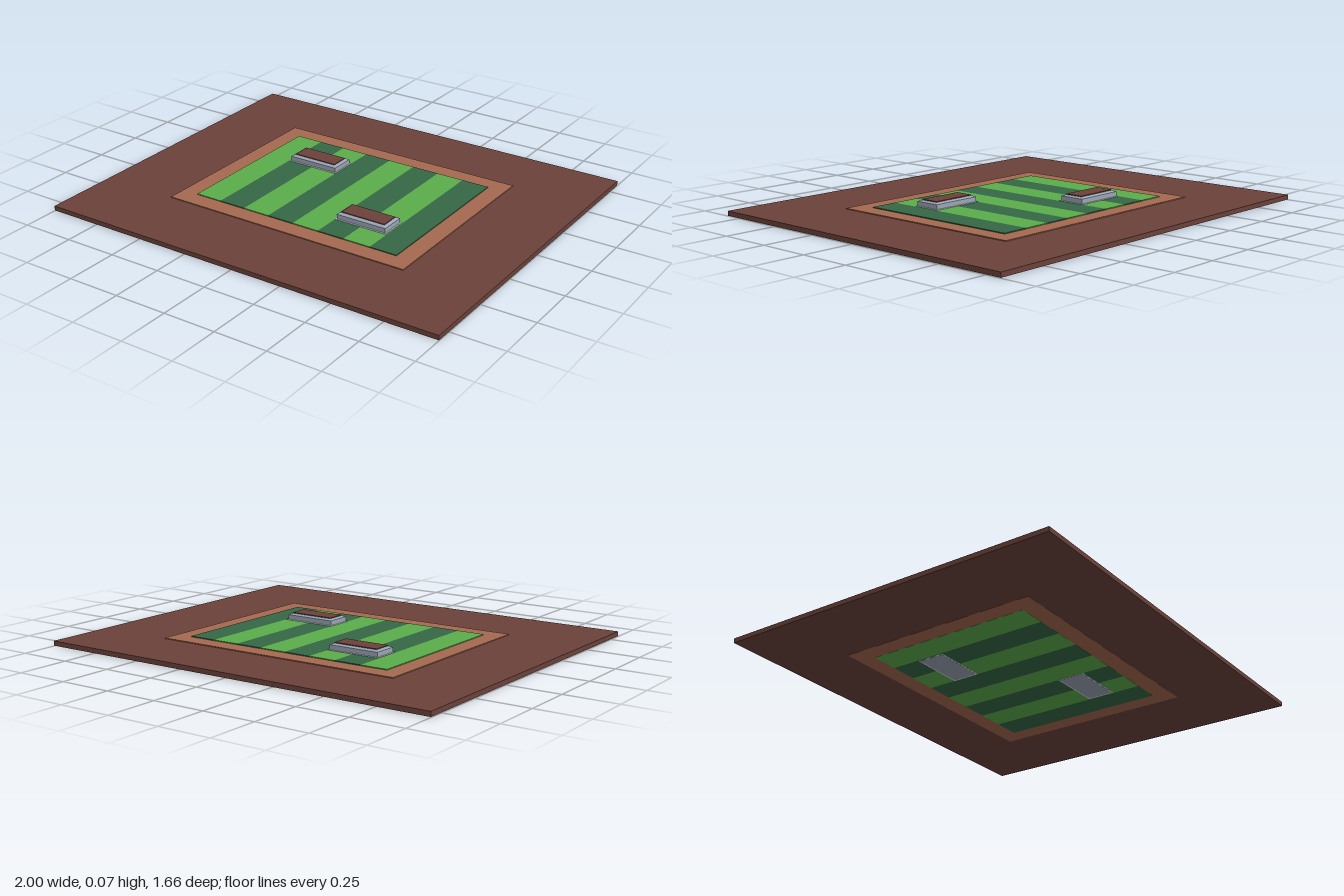
import * as THREE from 'three';

const mat = (name, color) => {
  const m = new THREE.MeshStandardMaterial({ color });
  m.name = name;
  return m;
};

export function createModel() {
  const earth = mat('dark earth', 0x6b413a);
  const clay = mat('clay', 0xa5694f);
  const lightGrass = mat('light grass', 0x5bad4b);
  const darkGrass = mat('dark grass', 0x346845);
  const concrete = mat('grey wall', 0x9aa5b5);
  const chalk = mat('white line', 0xf0f2f5);

  const model = new THREE.Group();
  model.name = 'sportsField';

  // Box given by its limits on each axis; taper pulls the top face inwards
  const slab = (name, material, [x0, x1], [y0, y1], [z0, z1], taper = 0, parent = model) => {
    const w = x1 - x0, h = y1 - y0, d = z1 - z0;
    const g = new THREE.BoxGeometry(w, h, d);
    const p = g.attributes.position;
    for (let i = 0; i < p.count; i++) {
      if (p.getY(i) < 0) continue;
      p.setX(i, p.getX(i) - Math.sign(p.getX(i)) * taper);
      p.setZ(i, p.getZ(i) - Math.sign(p.getZ(i)) * taper);
    }
    g.computeVertexNormals();
    const mesh = new THREE.Mesh(g, material);
    mesh.name = name;
    mesh.position.set((x0 + x1) / 2, (y0 + y1) / 2, (z0 + z1) / 2);
    parent.add(mesh);
  };

  // Ground and clay border; each inner layer reaches slightly past the outer one on both sides
  slab('ground', earth, [-1, 1], [0.002, 0.024], [-0.828, 0.828]);
  slab('clayBorder', clay, [-0.62, 0.62], [0.0015, 0.028], [-0.505, 0.468]);

  // Mown stripes
  const left = -0.535, stripe = 0.1337;
  for (let i = 0; i < 8; i++) {
    slab('grassStripe', i % 2 ? darkGrass : lightGrass,
      [left + i * stripe, left + (i + 1) * stripe], [0.001, 0.032], [-0.42, 0.383]);
  }

  // Two low shelters on opposite sides of the pitch
  for (const [x, z] of [[-0.265, -0.216], [0.265, 0.182]]) {
    const shelter = new THREE.Group();
    shelter.name = 'shelter';
    shelter.position.set(x, 0, z);
    const part = (name, m, w, y, d, taper) =>
      slab(name, m, [-w, w], y, [-d, d], taper, shelter);
    part('outline', chalk, 0.132, [0.0005, 0.034], 0.067);
    part('walls', concrete, 0.126, [0, 0.056], 0.061);
    part('roofEdge', concrete, 0.126, [0.056, 0.062], 0.061, 0.014);
    part('roof', earth, 0.111, [0.06, 0.066], 0.044);
    model.add(shelter);
  }
  return model;
}
